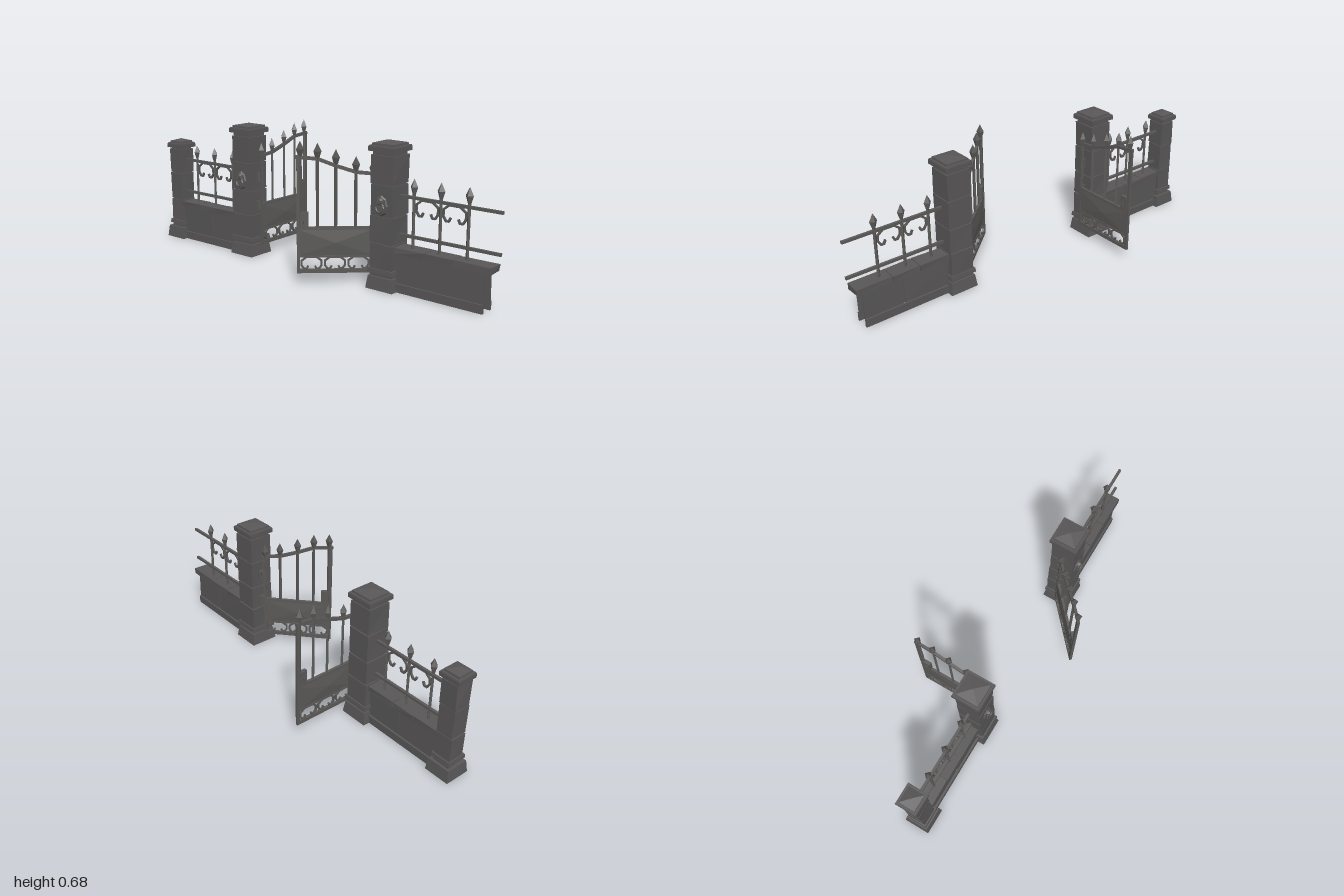
import * as THREE from 'three';

const stone = new THREE.MeshStandardMaterial({ color: 0x585656, flatShading: true });
stone.name = 'dark stone';
const iron = new THREE.MeshStandardMaterial({ color: 0x5a5957, flatShading: true });
iron.name = 'wrought iron';

let seed = 7;
const jitter = (a) => {
  seed = (seed * 16807) % 2147483647;
  return (seed / 2147483647 - 0.5) * 2 * a;
};

function add(parent, name, geo, mat, x = 0, y = 0, z = 0) {
  const m = new THREE.Mesh(geo, mat);
  m.name = name;
  m.position.set(x, y, z);
  parent.add(m);
  return m;
}

function group(parent, name, x = 0, y = 0, z = 0) {
  const g = new THREE.Group();
  g.name = name;
  g.position.set(x, y, z);
  parent.add(g);
  return g;
}

const box = (w, h, d) => new THREE.BoxGeometry(w, h, d);

// Square frustum between two heights, given half widths
function frustum(parent, name, y0, y1, lower, upper, mat = stone) {
  const geo = new THREE.CylinderGeometry(upper * Math.SQRT2, lower * Math.SQRT2, y1 - y0, 4);
  geo.rotateY(Math.PI / 4);
  return add(parent, name, geo, mat, 0, (y0 + y1) / 2, 0);
}

// Hand-cut block: each of the eight corners is shifted a little
function roughBlock(w, h, d, amount) {
  const geo = box(w, h, d);
  const p = geo.attributes.position;
  const shifts = Array.from({ length: 8 }, () => [jitter(amount), jitter(amount * 0.6), jitter(amount)]);
  for (let i = 0; i < p.count; i++) {
    const s = shifts[(p.getX(i) > 0 ? 1 : 0) + (p.getY(i) > 0 ? 2 : 0) + (p.getZ(i) > 0 ? 4 : 0)];
    p.setXYZ(i, p.getX(i) + s[0], p.getY(i) + s[1], p.getZ(i) + s[2]);
  }
  return geo;
}

// Square bars following a polyline in the local xy plane
function bars(parent, name, points, t, depth = t) {
  const g = group(parent, name);
  for (let i = 1; i < points.length; i++) {
    const [ax, ay] = points[i - 1], [bx, by] = points[i];
    const len = Math.hypot(bx - ax, by - ay);
    const m = add(g, name + 'Bar', box(len + t * 0.4, t, depth), iron, (ax + bx) / 2, (ay + by) / 2);
    m.rotation.z = Math.atan2(by - ay, bx - ax);
  }
  return g;
}

// Faceted arch with ends that curl inward
function scroll(parent, x, y0, y1, half, t) {
  const side = [[0, 1], [0.5, 1], [1, 0.7], [1, 0.32], [0.75, 0.03], [0.48, 0.03], [0.36, 0.24]];
  const pts = [...side.slice(1).reverse().map(([a, b]) => [-a, b]), ...side.slice(1)];
  bars(parent, 'scroll', pts.map(([a, b]) => [x + a * half, y0 + b * (y1 - y0)]), t, 0.009);
}

// Diamond-section rod with a spear head
function spear(parent, x, y0, tip, r, headR) {
  const pts = [[0, y0], [r, y0], [r, tip - 0.07], [r * 1.25, tip - 0.066], [headR, tip - 0.037], [0, tip]];
  add(parent, 'spear', new THREE.LatheGeometry(pts.map(([a, b]) => new THREE.Vector2(a, b)), 4), iron, x);
}

// Stone pillar: plinth, collar, stacked blocks and stepped cap
function pillar(parent, name, x, half, baseHalf, joints, top) {
  const g = group(parent, name, x, 0, 0.055);
  const end = joints[joints.length - 1];
  frustum(g, 'plinth', 0, 0.06, baseHalf, baseHalf * 0.89);
  frustum(g, 'collar', 0.077, 0.097, half + 0.009, half + 0.007);
  frustum(g, 'core', 0.05, top - 0.04, half - 0.006, half - 0.006);
  for (let i = 1; i < joints.length; i++) {
    const h = joints[i] - joints[i - 1] - 0.005;
    add(g, 'block', roughBlock(half * 2, h, half * 2, 0.0025), stone, 0, (joints[i] + joints[i - 1]) / 2, 0);
  }
  frustum(g, 'neck', end - 0.002, top - 0.045, half - 0.008, half - 0.008);
  frustum(g, 'capSlab', top - 0.046, top - 0.026, half + 0.01, half + 0.01);
  frustum(g, 'capLip', top - 0.026, top - 0.021, half + 0.008, half + 0.007);
  frustum(g, 'capStep', top - 0.021, top - 0.011, half - 0.002, half - 0.003);
  frustum(g, 'capPeak', top - 0.011, top, half - 0.003, 0.003);
  return g;
}

// Ring knocker on the front face and hinge blocks on the gate side
function pillarIron(p, side) {
  const k = group(p, 'knocker', 0, 0.39, 0.06);
  const plate = add(k, 'backPlate', new THREE.CylinderGeometry(0.03, 0.036, 0.008, 8), iron, 0, 0, 0.003);
  plate.rotation.x = Math.PI / 2;
  plate.scale.z = 1.35;
  const boss = add(k, 'boss', new THREE.CylinderGeometry(0.009, 0.018, 0.014, 6), iron, 0, 0.02, 0.012);
  boss.rotation.x = Math.PI / 2;
  const ring = add(k, 'ring', new THREE.TorusGeometry(0.021, 0.004, 4, 8), iron, 0, -0.008, 0.014);
  ring.rotation.x = -0.12;
  for (const y of [0.26, 0.405]) {
    add(p, 'hingePlate', box(0.008, 0.05, 0.036), iron, side * 0.062, y, 0);
    add(p, 'hingePin', new THREE.CylinderGeometry(0.008, 0.008, 0.04, 6), iron, side * 0.07, y, 0);
  }
}

// Low wall: hollow with two faces, footing and coping stones
function wall(parent, name, x0, x1, copingEnd, joint) {
  const g = group(parent, name, 0, 0, 0.055);
  for (const s of [-1, 1]) {
    for (const [a, b] of [[x0, joint - 0.002], [joint + 0.002, x1]]) {
      add(g, 'wallFace', roughBlock(b - a, 0.15, 0.006, 0.0015), stone, (a + b) / 2, 0.115, s * 0.027);
    }
    add(g, 'jointBacking', box(0.02, 0.14, 0.003), stone, joint, 0.115, s * 0.025);
    add(g, 'footing', box(x1 - x0, 0.04, 0.012), stone, (x0 + x1) / 2, 0.02, s * 0.033);
  }
  const cuts = [0, 0.33, 0.62, 1].map((t) => x0 + t * (copingEnd - x0));
  cuts.slice(1).forEach((b, i) => {
    const a = cuts[i];
    add(g, 'coping', roughBlock(b - a - 0.003, 0.03, 0.08, 0.0025), stone, (a + b) / 2, 0.191, 0);
  });
}

// Railing above a wall: two rails, spears and scrolls
function railing(parent, name, x0, x1, spearXs) {
  const g = group(parent, name, 0, 0, 0.055);
  for (const y of [0.258, 0.434]) add(g, 'rail', box(x1 - x0, 0.013, 0.013), iron, (x0 + x1) / 2, y);
  for (const x of spearXs) spear(g, x, 0.19, 0.52, 0.008, 0.019);
  for (let i = 1; i < spearXs.length; i++) {
    scroll(g, (spearXs[i] + spearXs[i - 1]) / 2, 0.355, 0.428, 0.055, 0.009);
  }
}

// Gate leaf: local x runs from the hinge to the free edge
function gate(parent, name, x, z, angle) {
  const g = group(parent, name, x, 0, z);
  g.rotation.y = angle;
  const W = 0.354, T = 0.013;
  add(g, 'hingeStile', box(0.014, 0.465, T), iron, 0.007, 0.2875);
  add(g, 'freeStile', box(0.014, 0.545, T), iron, W - 0.007, 0.3275);
  for (const [y, h] of [[0.064, 0.018], [0.134, 0.01], [0.266, 0.014]]) {
    add(g, 'crossRail', box(W, h, T), iron, W / 2, y);
  }
  bars(g, 'topRail', [[0, 0.514], [0.088, 0.523], [0.178, 0.552], [0.26, 0.584], [W, 0.592]], 0.015, T);

  // Solid lower panel, raised to a shallow point on both faces
  add(g, 'panel', box(W - 0.02, 0.13, 0.008), iron, W / 2, 0.198);
  for (const s of [-1, 1]) {
    const geo = new THREE.CylinderGeometry(0, Math.SQRT1_2, 1, 4);
    geo.rotateY(Math.PI / 4);
    geo.rotateX(s * Math.PI / 2);
    add(g, 'panelPoint', geo, iron, W / 2, 0.198, s * 0.0075).scale.set(W - 0.028, 0.12, 0.007);
  }

  [[0.01, 0.58], [0.088, 0.595], [0.178, 0.627], [0.26, 0.655], [0.337, 0.665]].forEach(([u, tip]) =>
    spear(g, u, 0.268, tip, 0.0075, 0.018));
  for (const u of [0.073, 0.18, 0.287]) scroll(g, u, 0.073, 0.13, 0.046, 0.008);

  // Lock case with a small handle on each face
  add(g, 'lockCase', box(0.038, 0.07, 0.018), iron, 0.32, 0.307);
  for (const s of [-1, 1]) add(g, 'handle', box(0.008, 0.022, 0.008), iron, 0.318, 0.298, s * 0.012);
}

export function createModel() {
  const model = new THREE.Group();
  model.name = 'gateway';

  const tall = [0.06, 0.215, 0.34, 0.482, 0.615];
  pillarIron(pillar(model, 'rightGatePillar', -0.418, 0.06, 0.073, tall, 0.675), 1);
  pillarIron(pillar(model, 'leftGatePillar', 0.445, 0.06, 0.073, tall, 0.675), -1);
  pillar(model, 'endPillar', -0.936, 0.043, 0.064, [0.055, 0.215, 0.36, 0.492], 0.545);

  wall(model, 'rightWall', -0.9, -0.47, -0.47, -0.67);
  wall(model, 'leftWall', 0.5, 0.946, 0.978, 0.745);
  railing(model, 'rightRailing', -0.9, -0.47, [-0.81, -0.675, -0.54]);
  railing(model, 'leftRailing', 0.495, 1, [0.575, 0.71, 0.845]);

  gate(model, 'rightGate', -0.343, 0.055, Math.PI / 2);
  gate(model, 'leftGate', 0.37, 0.057, Math.PI + Math.atan2(0.235, 0.265));
  return model;
}
